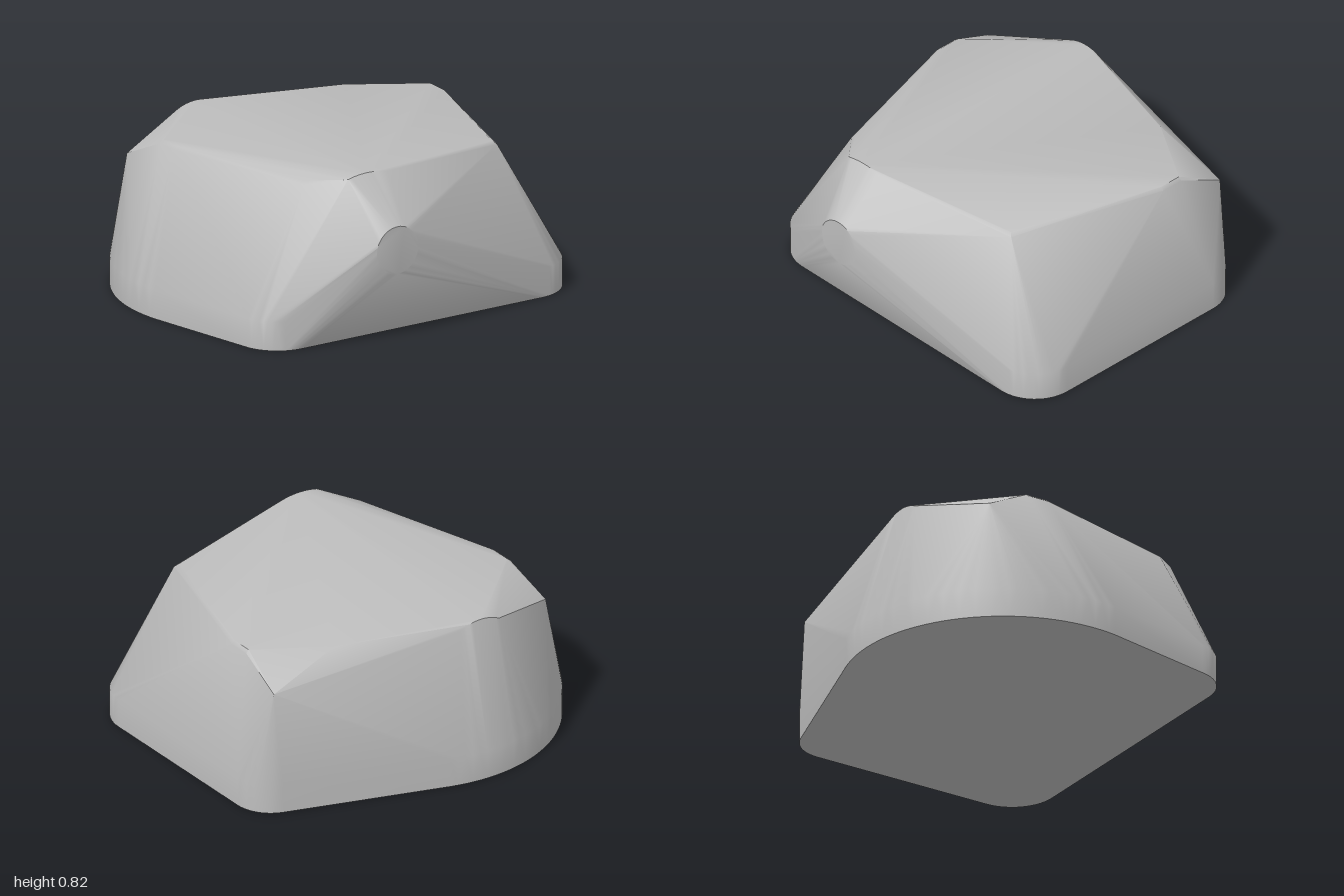
import * as THREE from 'three';
import { ConvexGeometry } from 'three/addons/geometries/ConvexGeometry.js';
import { toCreasedNormals } from 'three/addons/utils/BufferGeometryUtils.js';

export function createModel() {
  const group = new THREE.Group();
  group.name = 'boulder';
  const stone = new THREE.MeshStandardMaterial({ color: 0xbdbdbd });
  stone.name = 'stone grey';
  const points = [];
  const add = (x, y, z) => points.push(new THREE.Vector3(x, y, z));

  // upright rounded corner of the foot, 0.15 tall (angles in degrees, 0 = +x, 90 = +z)
  const footCorner = (x, z, r, from, to, steps) => {
    for (let i = 0; i <= steps; i++) {
      const a = THREE.MathUtils.degToRad(from + ((to - from) * i) / steps);
      for (const y of [0, 0.15]) add(x + r * Math.cos(a), y, z + r * Math.sin(a));
    }
  };
  footCorner(-0.2, -0.15, 0.8, 170, 288, 40);
  footCorner(0.8, -0.45, 0.2, -72, 0, 12);
  footCorner(0.77, 0.54, 0.23, 0, 90, 14);
  footCorner(-0.64, 0.55, 0.22, 90, 170, 14);

  // round faces looking along z: front nose, front brow, back brow
  const roundFace = (x, y, z, r, from, to, steps) => {
    for (let i = 0; i <= steps; i++) {
      const a = THREE.MathUtils.degToRad(from + ((to - from) * i) / steps);
      add(x + r * Math.cos(a), y + r * Math.sin(a), z);
    }
  };
  roundFace(-0.195, 0.475, 0.947, 0.123, 0, 354, 30);
  roundFace(-0.23, 0.375, 0.735, 0.45, 75, 105, 12);
  roundFace(-0.235, 0.53, -0.77, 0.25, 62, 118, 12);

  // corners of the worn top, each with a small softened lip
  add(0.62, 0.78, 0.56);
  add(0.638, 0.765, 0.575);
  add(-0.48, 0.78, 0.56);
  add(-0.498, 0.765, 0.573);
  for (const z of [-0.23, -0.35]) {
    add(0.86, 0.78, z);
    add(0.875, 0.765, z);
    add(-0.71, 0.78, z);
    add(-0.73, 0.765, z);
  }
  add(0.5, 0.78, -0.57);

  // lower shoulders at the back
  add(0.89, 0.65, -0.6);
  add(-0.76, 0.65, -0.6);

  const rock = new THREE.Mesh(toCreasedNormals(new ConvexGeometry(points), 0.6), stone);
  rock.name = 'rock';
  group.add(rock);
  return group;
}
